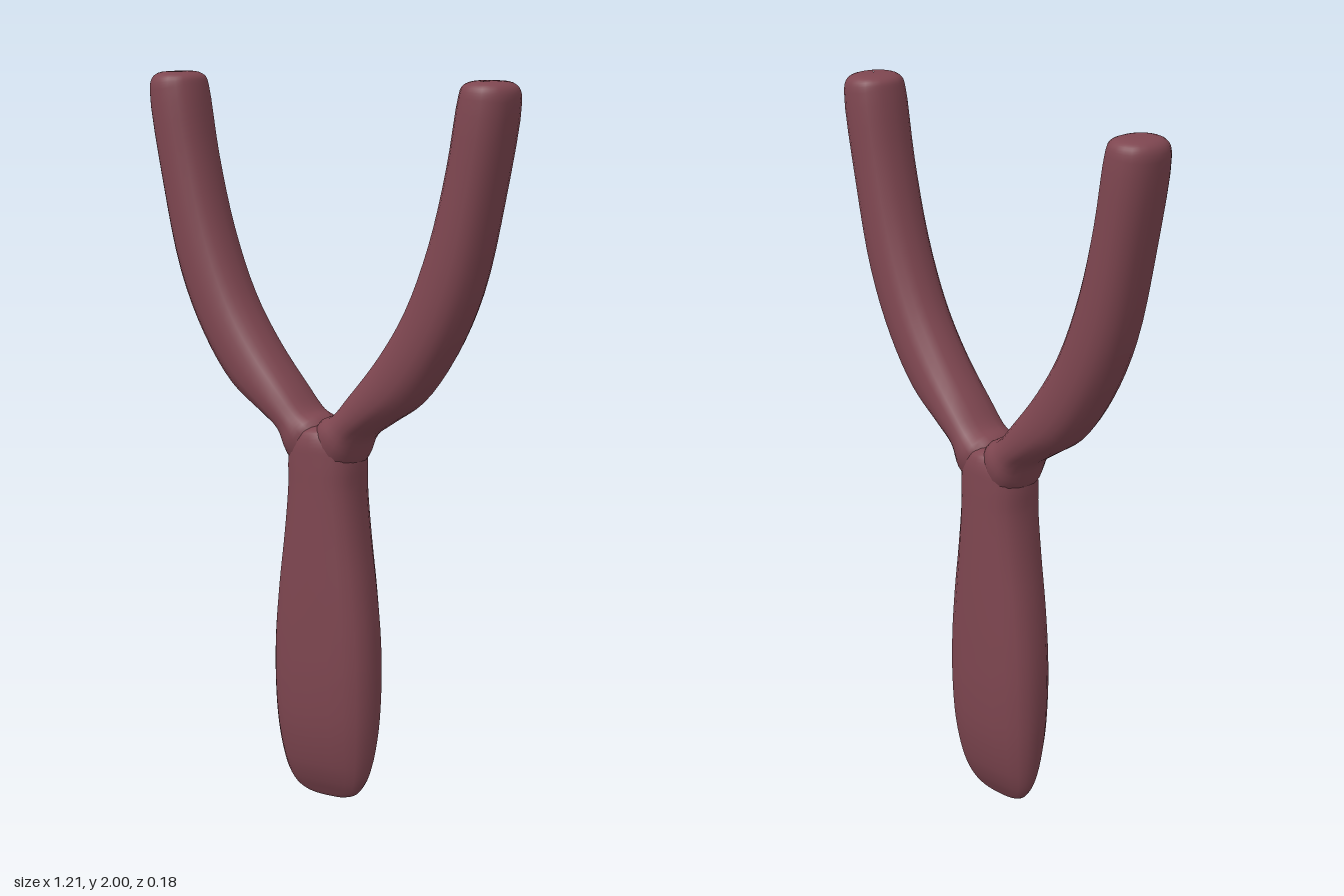
import * as THREE from 'three';

const material = new THREE.MeshStandardMaterial({ color: 0x7e4650 });

// Lofts rounded cross-sections. Each section: [ax, ay, bx, by, halfDepth],
// where a and b are the two silhouette points it spans.
function loft(name, sections, power, steps = 4, sides = 20) {
  const edge = (k) => new THREE.CatmullRomCurve3(
    sections.map((s) => new THREE.Vector3(s[k], s[k + 1], s[4])));
  const edgeA = edge(0), edgeB = edge(2);
  const rings = (sections.length - 1) * steps;
  const positions = [], index = [];
  const round = (v) => Math.sign(v) * Math.abs(v) ** (2 / power);
  for (let i = 0; i <= rings; i++) {
    const a = edgeA.getPoint(i / rings), b = edgeB.getPoint(i / rings);
    const depth = Math.max(0, (a.z + b.z) / 2);
    for (let j = 0; j < sides; j++) {
      const angle = (j / sides) * Math.PI * 2;
      const u = (1 + round(Math.cos(angle))) / 2;
      positions.push(
        a.x + (b.x - a.x) * u,
        a.y + (b.y - a.y) * u,
        depth * round(Math.sin(angle)) - 0.003);
      if (i === rings) continue;
      const p = i * sides + j, q = i * sides + (j + 1) % sides;
      index.push(p, p + sides, q, q, p + sides, q + sides);
    }
  }
  const geometry = new THREE.BufferGeometry();
  geometry.setAttribute('position', new THREE.Float32BufferAttribute(positions, 3));
  geometry.setIndex(index);
  geometry.computeVertexNormals();
  const mesh = new THREE.Mesh(geometry, material);
  mesh.name = name;
  return mesh;
}

export function createModel() {
  const group = new THREE.Group();
  group.name = 'slingshotFrame';

  // Handle: height, half width, half depth; wedge-shaped foot, narrow neck
  const handle = [
    [0, 0.001, 0.001], [0.004, 0.06, 0.008], [0.02, 0.1, 0.018], [0.05, 0.125, 0.035],
    [0.1, 0.143, 0.055], [0.2, 0.16, 0.077], [0.33, 0.167, 0.088], [0.46, 0.164, 0.091],
    [0.6, 0.149, 0.092], [0.75, 0.126, 0.092], [0.88, 0.111, 0.092], [0.96, 0.11, 0.092],
    [1.01, 0.1, 0.09], [1.045, 0.06, 0.075], [1.062, 0.001, 0.001],
  ];
  group.add(loft('handle', handle.map(([y, w, d]) => [-w, y, w, y, d]), 2.4));

  // Fork arm: inner edge, outer edge, half depth; rounded tip
  const arm = [
    [-0.05, 1.0, 0.06, 0.9, 0.06],
    [0, 1.07, 0.11, 0.96, 0.088],
    [0.045, 1.09, 0.14, 1.025, 0.085],
    [0.1, 1.15, 0.2, 1.067, 0.085],
    [0.2, 1.27, 0.305, 1.135, 0.085],
    [0.285, 1.4, 0.405, 1.26, 0.085],
    [0.36, 1.58, 0.49, 1.43, 0.085],
    [0.415, 1.78, 0.555, 1.68, 0.085],
    [0.45, 1.96, 0.603, 1.945, 0.085],
    [0.459, 1.985, 0.598, 1.978, 0.078],
    [0.48, 1.997, 0.58, 1.994, 0.06],
    [0.53, 2.0, 0.532, 2.0, 0.001],
  ];
  group.add(loft('leftArm', arm, 2.25));
  group.add(loft('rightArm', arm.map(([ax, ay, bx, by, d]) => [-bx, by, -ax, ay, d]), 2.25));
  return group;
}
